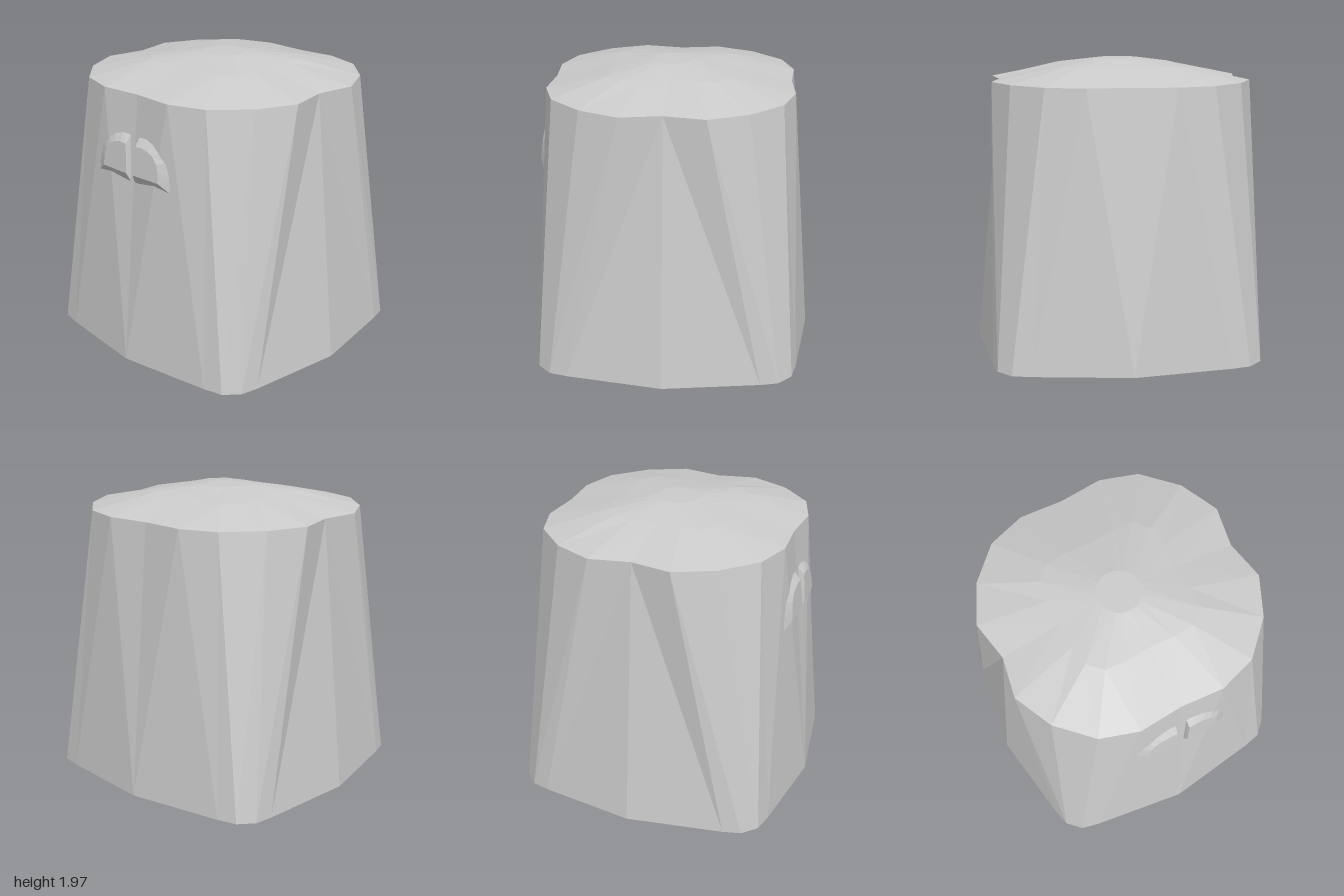
import * as THREE from 'three';

const material = new THREE.MeshStandardMaterial({ color: 0xcccccc, flatShading: true, side: THREE.DoubleSide });

// Mirrors a quarter outline (+x axis to +z axis) into a closed ring of [x, y, z]
function ring(quarter, y) {
  const q = quarter.slice(0, -1);
  const r = quarter.slice(1).reverse();
  return [
    ...q.map(([x, z]) => [x, y, z]),
    ...r.map(([x, z]) => [-x, y, z]),
    ...q.map(([x, z]) => [-x, y, -z]),
    ...r.map(([x, z]) => [x, y, -z]),
  ];
}

// Joins successive rings with quads; the diagonals mirror from quarter to quarter
function loft(rings, name, closeEnd) {
  const n = rings[0].length;
  const index = [];
  for (let k = 0; k < rings.length - 1; k++) {
    for (let i = 0; i < n; i++) {
      const a = k * n + i, b = k * n + (i + 1) % n, c = a + n, d = b + n;
      if (Math.floor(i / 5) % 2 === 0) index.push(b, a, c, b, c, d);
      else index.push(b, a, d, a, c, d);
    }
  }
  const points = rings.flat();
  if (closeEnd) {
    const last = rings[rings.length - 1];
    points.push([0, 1, 2].map((j) => last.reduce((s, p) => s + p[j], 0) / n));
    const o = (rings.length - 1) * n;
    for (let i = 0; i < n; i++) index.push(o + (i + 1) % n, o + i, points.length - 1);
  }
  const geometry = new THREE.BufferGeometry();
  geometry.setAttribute('position', new THREE.Float32BufferAttribute(points.flat(), 3));
  geometry.setIndex(index);
  geometry.computeVertexNormals();
  const mesh = new THREE.Mesh(geometry, material);
  mesh.name = name;
  return mesh;
}

// Raised, bevelled eye pad with an arched outer corner; side is +1 or -1
function eyePad(side) {
  const outer = [[0.02, 1.26], [0.04, 1.56], [0.11, 1.575], [0.19, 1.565], [0.26, 1.53], [0.31, 1.46], [0.33, 1.37], [0.33, 1.265]];
  const inner = [[0.03, 1.32], [0.045, 1.51], [0.10, 1.515], [0.15, 1.505], [0.20, 1.48], [0.235, 1.44], [0.25, 1.39], [0.255, 1.32]];
  const base = outer.map(([x, y]) => [side * x, y, 0.862 - 0.1 * (y - 1.26) - 0.03 * x]);
  const face = inner.map(([x, y]) => [side * x, y, 0.893 - 0.1 * (y - 1.32) - 0.03 * x]);
  if (side < 0) { base.reverse(); face.reverse(); }
  return loft([base, face], side > 0 ? 'leftEye' : 'rightEye', true);
}

export function createModel() {
  const group = new THREE.Group();
  group.name = 'hoodedBody';

  // Quarter outlines of the hem, the rim, the dome shoulder and the crown
  const hem = [[1, 0], [0.90, 0.65], [0.87, 0.77], [0.78, 0.86], [0.65, 0.89], [0, 0.98]];
  const rim = [[0.82, 0], [0.87, 0.27], [0.75, 0.53], [0.54, 0.74], [0.29, 0.82], [0, 0.80]];
  const shoulder = [[0.40, 0], [0.41, 0.17], [0.40, 0.31], [0.31, 0.40], [0.17, 0.41], [0, 0.40]];
  const crown = [0, 1, 2, 3, 4, 5].map((i) => {
    const t = (i / 5) * Math.PI / 2;
    return [0.145 * Math.cos(t), 0.145 * Math.sin(t)];
  });

  // Tapered wall, open at the bottom
  group.add(loft([ring(hem, 0), ring(rim, 1.83)], 'wall', false));

  // Shallow domed top
  group.add(loft([ring(rim, 1.83), ring(shoulder, 1.925), ring(crown, 1.97)], 'domeTop', true));

  // Pair of eyes on the front
  group.add(eyePad(1), eyePad(-1));
  return group;
}
